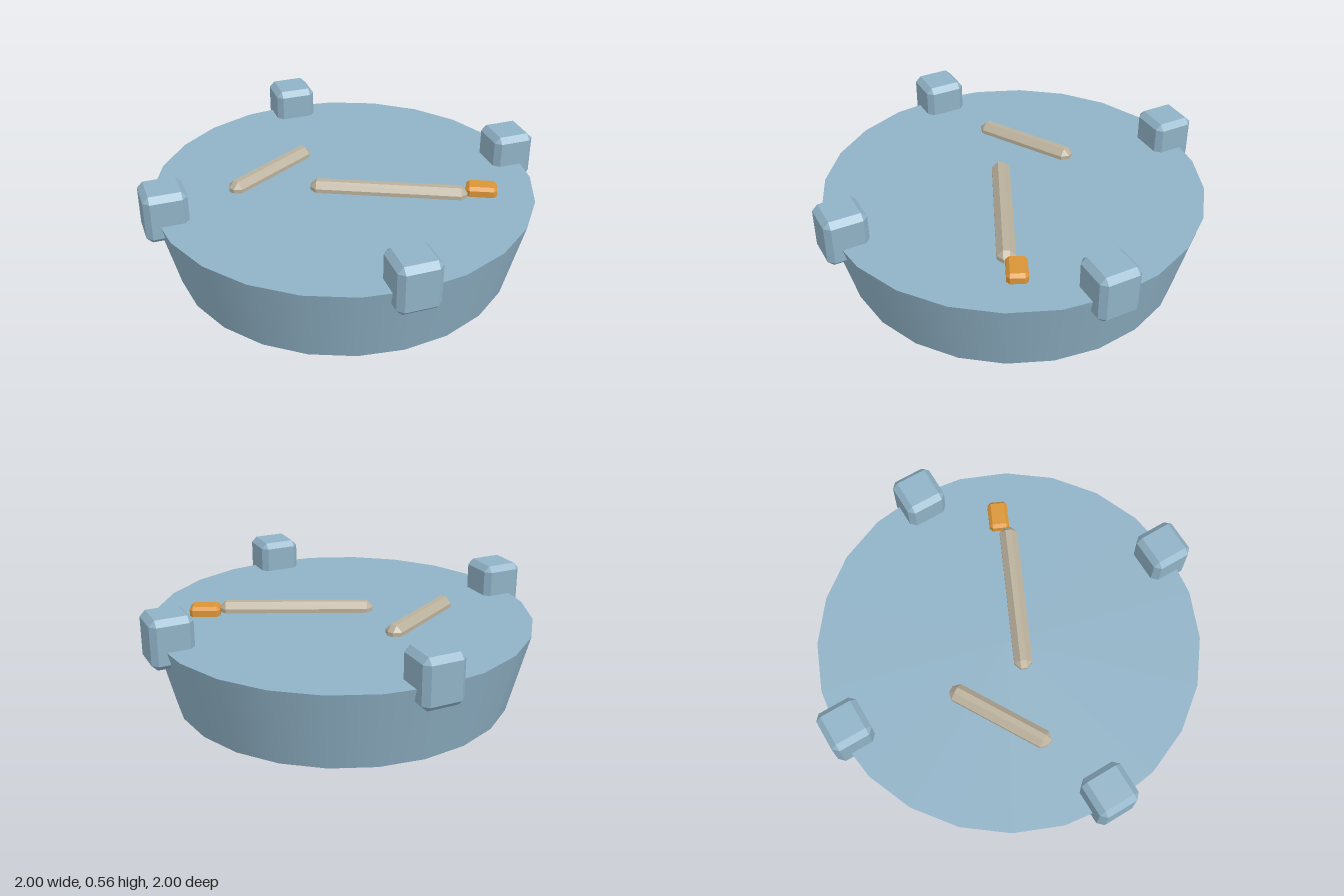
import * as THREE from 'three';
import { ConvexGeometry } from 'three/addons/geometries/ConvexGeometry.js';

// Box with flat chamfers of size c on every edge and corner
function chamferBox(w, h, d, c) {
  const points = [];
  for (const x of [-w / 2, w / 2])
    for (const y of [-h / 2, h / 2])
      for (const z of [-d / 2, d / 2]) {
        const ix = x - Math.sign(x) * c, iy = y - Math.sign(y) * c, iz = z - Math.sign(z) * c;
        points.push(
          new THREE.Vector3(x, iy, iz),
          new THREE.Vector3(ix, y, iz),
          new THREE.Vector3(ix, iy, z)
        );
      }
  return new ConvexGeometry(points);
}

export function createModel() {
  const model = new THREE.Group();
  model.name = 'ashtray';

  const material = (name, color) => {
    const m = new THREE.MeshStandardMaterial({ color });
    m.name = name;
    return m;
  };
  const blue = material('blueGlass', 0x90b2c6);
  const paper = material('paper', 0xbab09c);
  const orange = material('orangeFilter', 0xda9538);

  const add = (name, geometry, mat, x, y, z, degrees = 0) => {
    const mesh = new THREE.Mesh(geometry, mat);
    mesh.name = name;
    mesh.position.set(x, y, z);
    mesh.rotation.y = THREE.MathUtils.degToRad(degrees);
    model.add(mesh);
  };

  // Tapered tray body
  add('tray', new THREE.CylinderGeometry(0.945, 0.845, 0.4, 24), blue, 0, 0.2, 0);

  // Four blocks around the rim
  const block = chamferBox(0.21, 0.245, 0.21, 0.028);
  for (const [side, x, z] of [['left', 1, 0], ['right', -1, 0], ['front', 0, 1], ['back', 0, -1]])
    add(side + 'RimBlock', block, blue, x * 0.895, 0.4325, z * 0.895);

  // Two sticks lying on the tray, one with a filter
  add('longStick', chamferBox(0.77, 0.09, 0.09, 0.03), paper, 0.183, 0.405, 0.15, -25);
  add('shortStick', chamferBox(0.545, 0.09, 0.09, 0.03), paper, -0.31, 0.405, -0.235, 30);
  add('filter', chamferBox(0.15, 0.09, 0.1, 0.016), orange, 0.612, 0.403, 0.303, -25);

  return model;
}
